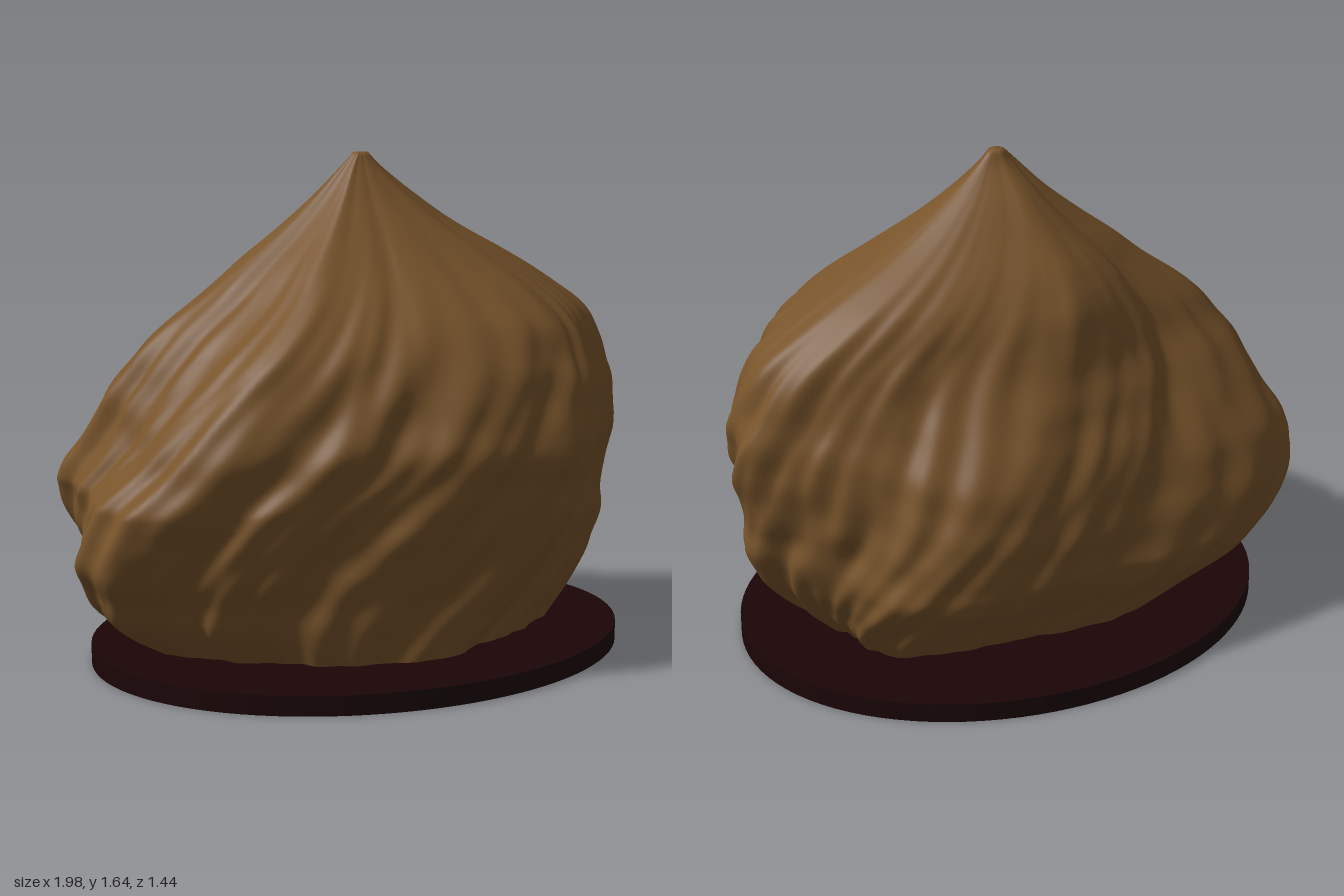
import * as THREE from 'three';

// Extents of the body by height: y, left (-x), right (+x), front (+z), back (-z)
const PROFILE = [
  [0.05, -0.67, 0.63, 0.45, -0.39],
  [0.20, -0.89, 0.78, 0.49, -0.50],
  [0.30, -0.95, 0.86, 0.51, -0.57],
  [0.42, -0.98, 0.91, 0.55, -0.60],
  [0.60, -0.93, 0.93, 0.60, -0.61],
  [0.75, -0.87, 0.97, 0.62, -0.58],
  [0.90, -0.80, 0.95, 0.58, -0.52],
  [1.00, -0.73, 0.92, 0.54, -0.47],
  [1.10, -0.63, 0.86, 0.48, -0.44],
  [1.20, -0.50, 0.73, 0.38, -0.41],
  [1.30, -0.38, 0.56, 0.27, -0.35],
  [1.40, -0.25, 0.38, 0.17, -0.26],
  [1.50, -0.13, 0.23, 0.08, -0.17],
  [1.60, -0.03, 0.10, 0.01, -0.07],
  [1.64, 0.01, 0.06, -0.01, -0.05],
];
// Irregular outline: relative radius every 15 degrees from +x towards +z
const OUTLINE = [1, 0.96, 0.93, 0.94, 1.03, 1, 0.98, 0.92, 0.95, 0.98, 1.07, 1,
  0.94, 0.95, 1.07, 1.08, 1.04, 0.93, 0.98, 1, 1.02, 0.92, 0.9, 0.95];

const CX = 0.035, CZ = -0.03, Y0 = 0.05, Y1 = 1.64, ROWS = 130, SEGS = 300;
const TURN = Math.PI * 2;

function interpolant(keys, values, size) {
  return new THREE.CubicInterpolant(new Float32Array(keys), new Float32Array(values), size);
}

// Swirling ridges that climb around the body and fade towards the tip
function ridges(a, y) {
  const s = a + 1.15 * y - 0.25 * y * y;
  const fade = 1 - 0.85 * THREE.MathUtils.smoothstep(y, 0.95, 1.5);
  const big = Math.sin(13 * s + 1.6 * Math.sin(2 * a + 2 * y) + 0.8 * Math.sin(6 * y));
  const mid = Math.sin(24 * s + 2 * Math.sin(3 * a - 3 * y));
  const fine = Math.sin(41 * s + 1.5 * Math.sin(9 * y + 4 * a));
  const lumps = Math.sin(7 * a - 11 * y) * Math.sin(5 * a + 17 * y + 1);
  const knobs = Math.sin(19 * a + 31 * y + 2 * Math.sin(3 * a)) * Math.sin(23 * a - 13 * y);
  return fade * (0.012 * big + 0.010 * mid + 0.004 * fine + 0.008 * lumps + 0.004 * knobs);
}

// The outline's corners turn with height: least at the front left, most at the back right
function twist(a, y) {
  const dy = Math.min(y, 1.25) - 0.55;
  return dy * (dy > 0 ? 0.6 - 0.45 * Math.cos(a - 0.9) : 0.85);
}

function bodyGeometry() {
  const profile = interpolant(PROFILE.map((p) => p[0]), PROFILE.flatMap((p) => p.slice(1)), 4);
  const wrapped = [...OUTLINE.slice(-2), ...OUTLINE, ...OUTLINE.slice(0, 3)];
  const outline = interpolant(wrapped.map((_, i) => (i - 2) * Math.PI / 12), wrapped, 1);

  const pos = [], index = [];
  for (let i = 0; i <= ROWS; i++) {
    const y = Y0 + (Y1 - Y0) * i / ROWS;
    const [l, r, f, b] = profile.evaluate(y);
    const ring = [];
    for (let j = 0; j < SEGS; j++) {
      const a = j / SEGS * TURN;
      const radius = outline.evaluate(THREE.MathUtils.euclideanModulo(a + twist(a, y), TURN))[0];
      ring.push([Math.cos(a) * radius, Math.sin(a) * radius, a]);
    }

    // Fit each side of the ring to the profile, then add the relief
    const reach = (k, sign) => Math.max(...ring.map((u) => u[k] * sign));
    const sx = [(CX - l) / reach(0, -1), (r - CX) / reach(0, 1)];
    const sz = [(CZ - b) / reach(1, -1), (f - CZ) / reach(1, 1)];
    for (const [ux, uz, a] of ring) {
      const d = 1 + ridges(a, y);
      pos.push(CX + ux * sx[ux > 0 ? 1 : 0] * d, y, CZ + uz * sz[uz > 0 ? 1 : 0] * d);
    }
  }
  for (let i = 0; i < ROWS; i++) {
    for (let j = 0; j < SEGS; j++) {
      const k = (j + 1) % SEGS;
      const a = i * SEGS + j, b = i * SEGS + k, c = a + SEGS, e = b + SEGS;
      index.push(a, c, b, b, c, e);
    }
  }
  // Close the blunt tip and the underside
  const tip = pos.length / 3, top = ROWS * SEGS;
  pos.push(CX, Y1, CZ, CX, Y0, CZ);
  for (let j = 0; j < SEGS; j++) {
    const k = (j + 1) % SEGS;
    index.push(top + j, tip, top + k, j, k, tip + 1);
  }
  const g = new THREE.BufferGeometry();
  g.setAttribute('position', new THREE.Float32BufferAttribute(pos, 3));
  g.setIndex(index);
  g.computeVertexNormals();
  return g;
}

export function createModel() {
  const brown = new THREE.MeshStandardMaterial({ color: 0x78542b });
  brown.name = 'earthy brown';
  const dark = new THREE.MeshStandardMaterial({ color: 0x1b0506 });
  dark.name = 'dark mahogany';

  const group = new THREE.Group();
  group.name = 'sculptureOnBase';

  const body = new THREE.Mesh(bodyGeometry(), brown);
  body.name = 'ridgedBody';

  // Thin oval plinth
  const base = new THREE.Mesh(new THREE.CylinderGeometry(1, 1, 0.065, 96), dark);
  base.name = 'ovalBase';
  base.scale.set(0.902, 1, 0.718);
  base.position.set(0.01, 0.0325, 0);

  group.add(body, base);
  return group;
}
